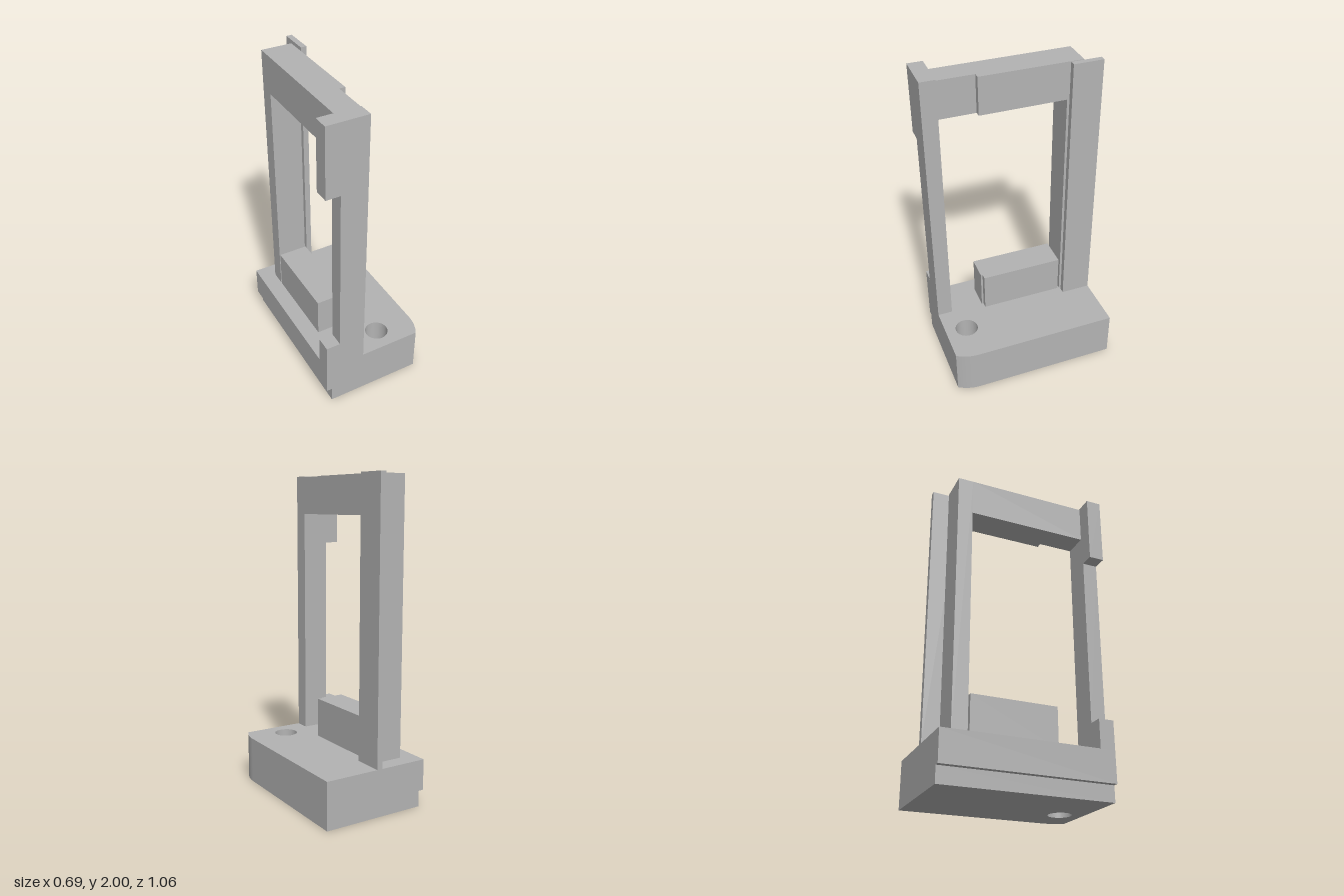
import * as THREE from 'three';

export function createModel() {
  const group = new THREE.Group();
  const grey = new THREE.MeshStandardMaterial({ color: 0xb3b3b3 });
  grey.name = 'plain grey';

  function add(name, geometry) {
    const mesh = new THREE.Mesh(geometry, grey);
    mesh.name = name;
    group.add(mesh);
  }

  // Box given by its extents
  function box(name, x0, x1, y0, y1, z0, z1) {
    const g = new THREE.BoxGeometry(x1 - x0, y1 - y0, z1 - z0);
    add(name, g.translate((x0 + x1) / 2, (y0 + y1) / 2, (z0 + z1) / 2));
  }

  // Plan outline (x, -z) raised from y0 to y1
  function slab(name, shape, y0, y1) {
    const g = new THREE.ExtrudeGeometry(shape, { depth: y1 - y0, bevelEnabled: false, curveSegments: 32 });
    add(name, g.rotateX(-Math.PI / 2).translate(0, y0, 0));
  }

  const outline = (pts) => new THREE.Shape(pts.map(([x, y]) => new THREE.Vector2(x, y)));

  // Base plan: one rounded front corner concentric with a through hole
  function basePlan(left) {
    const cx = 0.092, cz = 0.39, r = 0.255;
    const end = Math.asin((0.53 - cz) / r);
    const s = new THREE.Shape();
    s.moveTo(left, 0.53);
    s.lineTo(left, -0.53);
    s.lineTo(cx + r * Math.cos(end), -0.53);
    s.absarc(cx, -cz, r, -end, 0, false);
    s.lineTo(cx + r, 0.53);
    s.closePath();
    const hole = new THREE.Path();
    hole.absarc(cx, -cz, 0.073, 0, Math.PI * 2, true);
    s.holes.push(hole);
    return s;
  }
  slab('baseFoot', basePlan(-0.315), 0, 0.1);
  slab('baseBody', basePlan(-0.348), 0.1, 0.295);

  // Front post with a recess cut in its outer side
  const post = outline([
    [-0.348, 0.295], [-0.09, 0.295], [-0.09, 2], [-0.348, 2],
    [-0.348, 1.565], [-0.258, 1.565], [-0.258, 0.475], [-0.348, 0.475],
  ]);
  add('frontPost', new THREE.ExtrudeGeometry(post, { depth: 0.095, bevelEnabled: false }).translate(0, 0, 0.435));

  // Back post and the thin upright strip beside it
  box('backPost', -0.245, -0.053, 0.295, 1.995, -0.43, -0.333);
  box('uprightStrip', -0.036, 0, 0.295, 2, -0.53, -0.34);

  // Stepped plan shared by the top beam and the lower block
  const stepped = (back, step, front) => outline([
    [-0.245, -back], [-0.245, -front], [-0.09, -front],
    [-0.09, -step], [-0.053, -step], [-0.053, -back],
  ]);
  slab('topBeam', stepped(-0.333, 0.21, 0.435), 1.757, 1.995);
  slab('lowerBlock', stepped(-0.322, 0.21, 0.222), 0.295, 0.55);

  return group;
}
